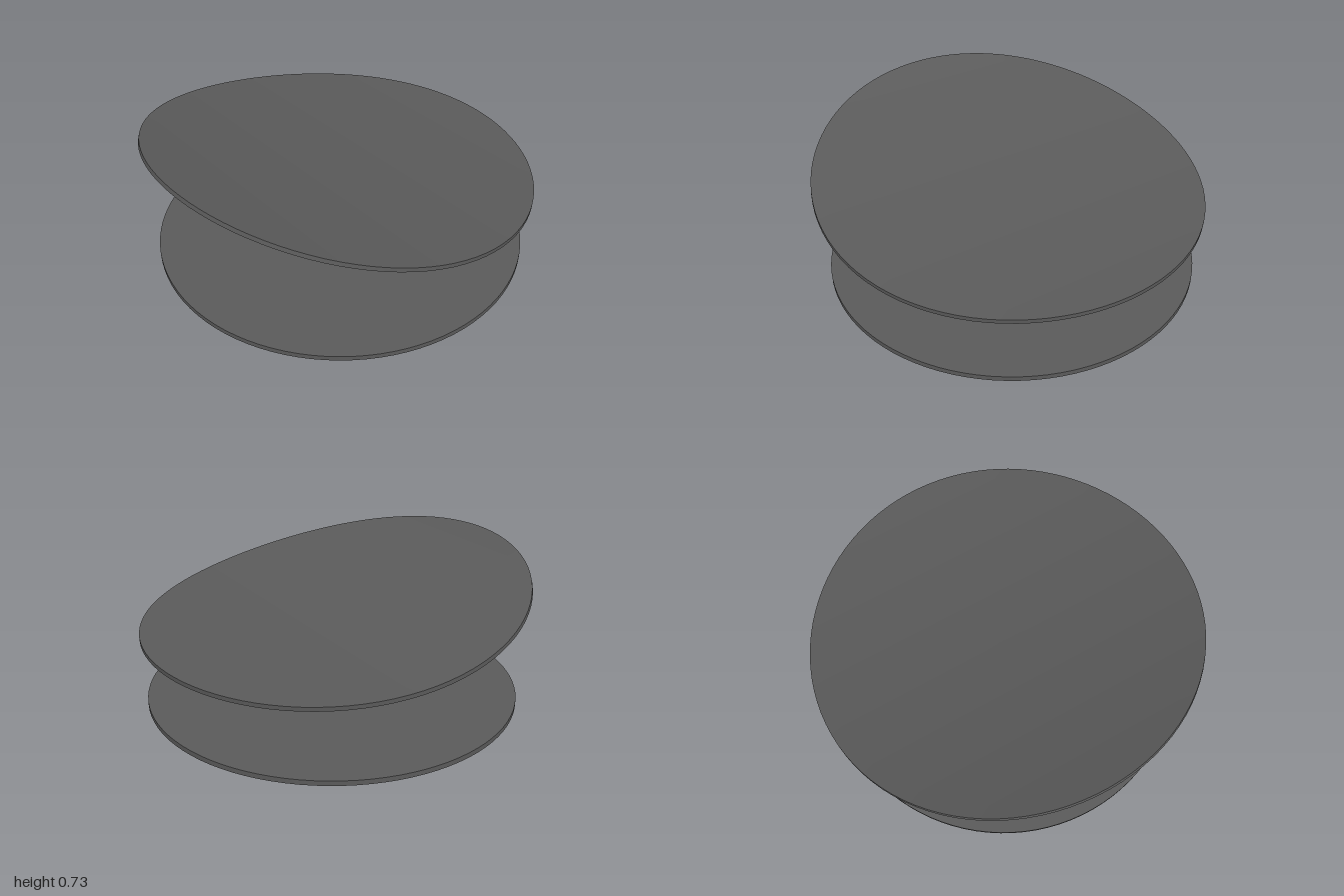
import * as THREE from 'three';
import { toCreasedNormals } from 'three/addons/utils/BufferGeometryUtils.js';

// Solid disc standing on y = 0, with concentric rings so that it can be bent
function discGeometry(radius, thickness, rings) {
  const profile = [];
  for (let i = 0; i <= rings; i++) profile.push(new THREE.Vector2(radius * i / rings, 0));
  for (let i = rings; i >= 0; i--) profile.push(new THREE.Vector2(radius * i / rings, thickness));
  return new THREE.LatheGeometry(profile, 96);
}

// Roll a disc of radius 1 up along z into a circular arc, flat at its back edge
function bendUp(geometry, arcRadius, backZ, height) {
  const pos = geometry.attributes.position;
  for (let i = 0; i < pos.count; i++) {
    const angle = (pos.getZ(i) + 1) / arcRadius;
    const r = arcRadius - pos.getY(i);
    pos.setY(i, height + arcRadius - r * Math.cos(angle));
    pos.setZ(i, backZ + r * Math.sin(angle));
  }
  return geometry;
}

export function createModel() {
  const group = new THREE.Group();
  const material = new THREE.MeshStandardMaterial({ color: 0x5a5a5a });

  const add = (name, geometry) => {
    const mesh = new THREE.Mesh(toCreasedNormals(geometry, 0.6), material);
    mesh.name = name;
    group.add(mesh);
  };

  // Flat disc on the ground
  add('baseDisc', discGeometry(0.963, 0.025, 6));

  // Curved disc hovering above, rising towards the front
  add('curvedDisc', bendUp(discGeometry(1, 0.021, 16), 5.7, -0.977, 0.362));

  return group;
}
